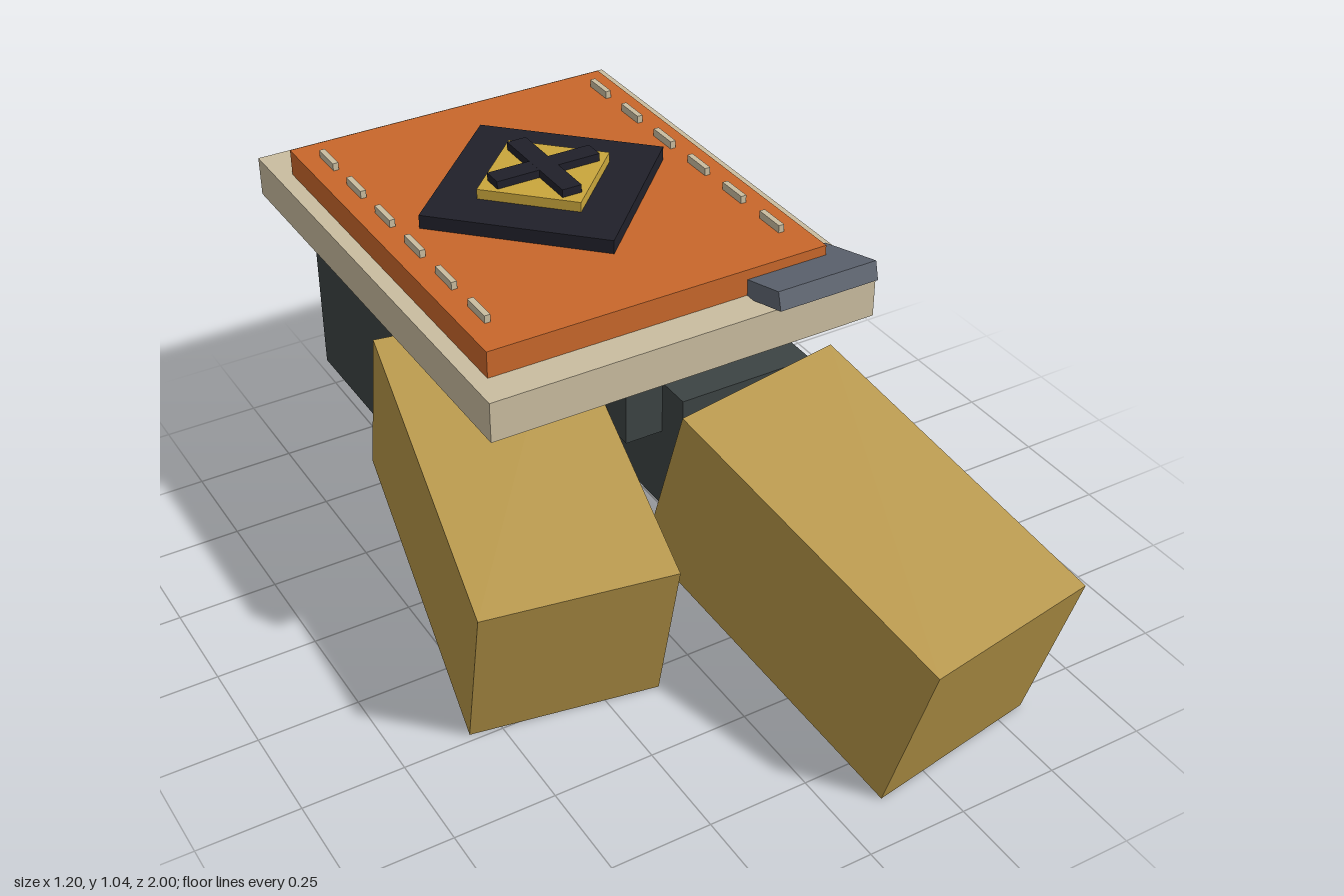
import * as THREE from 'three';

const mat = (name, color) => {
  const m = new THREE.MeshStandardMaterial({ color });
  m.name = name;
  return m;
};

export function createModel() {
  const cream = mat('cream', 0xc9bc9f);
  const orange = mat('orange', 0xc8672b);
  const black = mat('black', 0x20202a);
  const gold = mat('gold', 0xc9a63c);
  const sleeveGold = mat('sleeveGold', 0xb59547);
  const charcoal = mat('charcoal', 0x3c4343);
  const steel = mat('steel', 0x5f6672);

  const model = new THREE.Group();
  const rad = THREE.MathUtils.degToRad;

  function box(parent, name, material, size, pos) {
    const mesh = new THREE.Mesh(new THREE.BoxGeometry(...size), material);
    mesh.name = name;
    mesh.position.set(...pos);
    parent.add(mesh);
    return mesh;
  }

  // Book: pages, cover and stitches down both sides
  const book = new THREE.Group();
  book.name = 'book';
  model.add(book);
  box(book, 'pages', cream, [0.98, 0.1, 1.24], [0, 0.85, -0.38]);
  box(book, 'cover', orange, [0.86, 0.066, 1.035], [-0.02, 0.933, -0.3625]);
  for (const x of [-0.395, 0.355]) {
    for (let i = 0; i < 6; i++) {
      box(book, 'stitch', cream, [0.014, 0.022, 0.08], [x, 0.974, -0.77 + i * 0.157]);
    }
  }

  // Emblem: two stacked diamonds and a cross
  const emblem = new THREE.Group();
  emblem.name = 'emblem';
  emblem.position.set(-0.02, 0, -0.38);
  book.add(emblem);
  const outer = 0.325 * Math.SQRT2, inner = 0.176 * Math.SQRT2;
  box(emblem, 'outerDiamond', black, [outer, 0.035, outer], [0, 0.9825, 0]).rotation.y = Math.PI / 4;
  box(emblem, 'innerDiamond', gold, [inner, 0.025, inner], [0, 1.0125, 0]).rotation.y = Math.PI / 4;
  box(emblem, 'crossBarLong', black, [0.05, 0.02, 0.27], [0, 1.035, 0]);
  box(emblem, 'crossBarWide', black, [0.27, 0.0196, 0.05], [0, 1.035, 0]);

  // Tilted clasp at the front edge
  box(book, 'clasp', steel, [0.26, 0.046, 0.2], [0.33, 0.925, 0.185]).rotation.x = rad(-15);

  // Arms: the right one is mirrored and set further back
  for (const side of [1, -1]) {
    const arm = new THREE.Group();
    arm.name = side > 0 ? 'leftArm' : 'rightArm';
    arm.position.z = side > 0 ? 0 : -0.565;
    model.add(arm);

    const sleeve = box(arm, 'sleeve', sleeveGold, [0.465, 0.457, 0.834], [side * 0.288, 0.335, 0.503]);
    sleeve.rotation.set(rad(16), side * rad(10), 0, 'YXZ');

    box(arm, 'hand', charcoal, [0.35, 0.35, 0.505], [side * 0.217, 0.486, -0.1075]);
    for (let i = 0; i < 3; i++) {
      box(arm, 'finger', charcoal, [0.115, 0.13, 0.113], [side * 0.0025, 0.59, -0.285 + i * 0.142]);
    }
  }
  return model;
}
